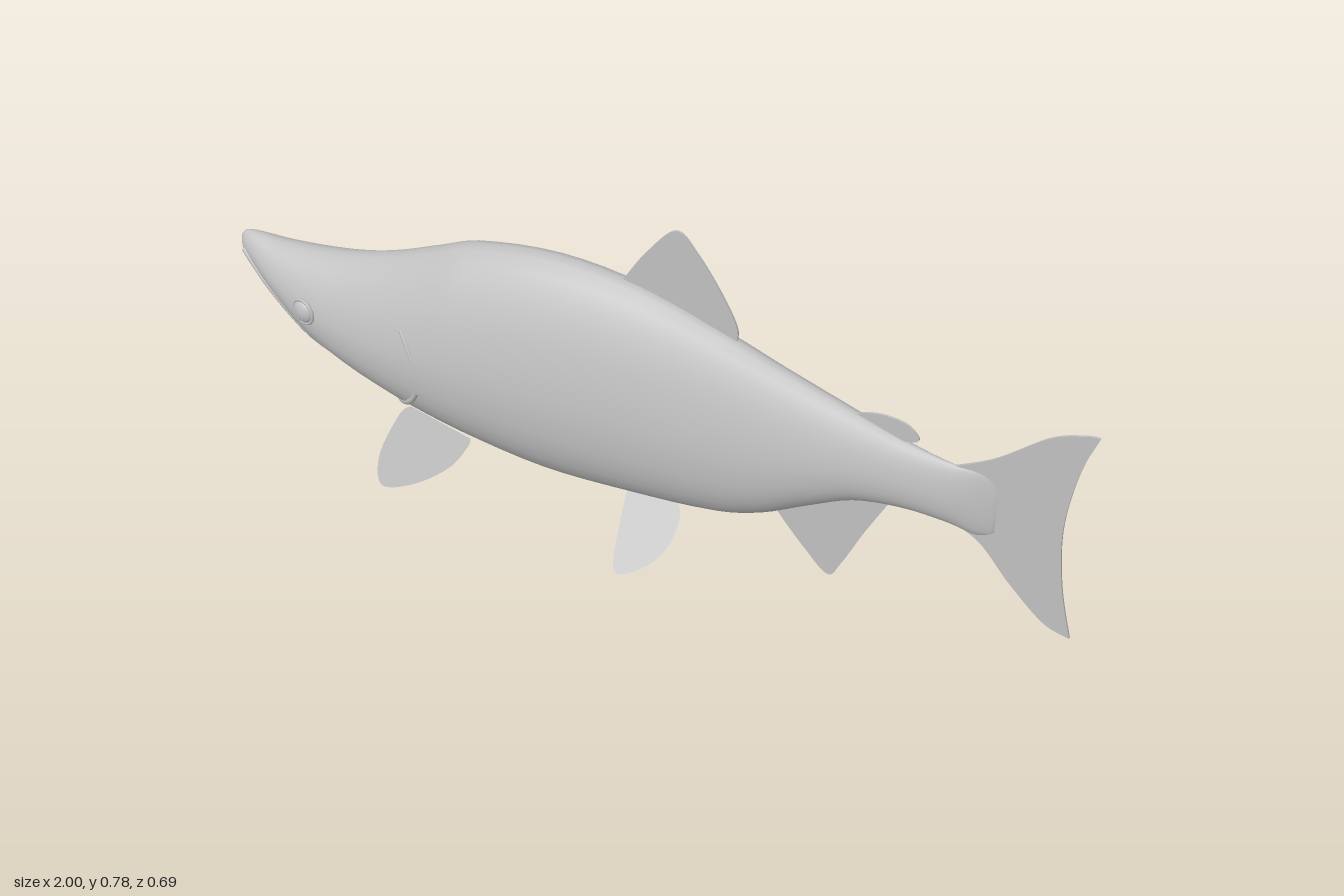
import * as THREE from 'three';

// Stations along the fish: x, top y, bottom y, half width
const BODY = [
  [-1, 0.455, 0.425, 0.006], [-0.99, 0.466, 0.415, 0.018], [-0.96, 0.47, 0.393, 0.034],
  [-0.9, 0.468, 0.345, 0.06], [-0.8, 0.476, 0.268, 0.09], [-0.7, 0.494, 0.22, 0.107],
  [-0.6, 0.525, 0.187, 0.122], [-0.5, 0.568, 0.16, 0.135], [-0.4, 0.61, 0.138, 0.142],
  [-0.2, 0.64, 0.11, 0.14], [0, 0.622, 0.112, 0.126], [0.2, 0.563, 0.127, 0.105],
  [0.3, 0.528, 0.157, 0.091], [0.4, 0.495, 0.21, 0.075], [0.5, 0.463, 0.258, 0.058],
  [0.6, 0.432, 0.272, 0.041], [0.7, 0.412, 0.265, 0.024], [0.76, 0.413, 0.253, 0.013],
  [0.8, 0.4, 0.265, 0.004],
];
const JAW = [
  [-0.978, 0.402, 0.388, 0.006], [-0.94, 0.388, 0.356, 0.024], [-0.88, 0.355, 0.31, 0.042],
  [-0.8, 0.325, 0.252, 0.06], [-0.7, 0.3, 0.213, 0.06], [-0.6, 0.27, 0.195, 0.03],
];

// Smooth interpolation of a station table at x
function sample(table, x) {
  let i = 0;
  while (i < table.length - 2 && x > table[i + 1][0]) i++;
  const a = table[i], b = table[i + 1];
  const p = table[Math.max(i - 1, 0)], q = table[Math.min(i + 2, table.length - 1)];
  const d = b[0] - a[0], t = (x - a[0]) / d;
  return [1, 2, 3].map((k) => {
    const ma = (b[k] - p[k]) / (b[0] - p[0]) * d, mb = (q[k] - a[k]) / (q[0] - a[0]) * d;
    const t2 = t * t, t3 = t2 * t;
    return (2 * t3 - 3 * t2 + 1) * a[k] + (t3 - 2 * t2 + t) * ma
      + (3 * t2 - 2 * t3) * b[k] + (t3 - t2) * mb;
  });
}

// Egg-shaped section: narrow along the back, full along the belly
const UPPER = 1.72, LOWER = 2.3, WAIST = 0.4;

// Half width of the body surface at (x, y)
function bodyZ(x, y) {
  const [top, bottom, w] = sample(BODY, x);
  const mid = bottom + (top - bottom) * WAIST;
  const n = y > mid ? UPPER : LOWER;
  const q = Math.min(1, Math.abs(y - mid) / (y > mid ? top - mid : mid - bottom));
  return w * Math.pow(1 - Math.pow(q, n), 1 / n);
}

function loft(table, steps, sides) {
  const xs = [];
  for (let i = 0; i < table.length - 1; i++) {
    for (let s = 0; s < steps; s++) xs.push(table[i][0] + (table[i + 1][0] - table[i][0]) * s / steps);
  }
  xs.push(table[table.length - 1][0]);
  const pos = [], idx = [];
  for (const x of xs) {
    const [top, bottom, w] = sample(table, x);
    const mid = bottom + (top - bottom) * WAIST;
    for (let j = 0; j < sides; j++) {
      const t = j / sides * Math.PI * 2, c = Math.cos(t), s = Math.sin(t);
      const e = 2 / (c > 0 ? UPPER : LOWER), h = c > 0 ? top - mid : mid - bottom;
      pos.push(x, mid + h * Math.sign(c) * Math.abs(c) ** e, w * Math.sign(s) * Math.abs(s) ** e);
    }
  }
  for (let i = 0; i < xs.length - 1; i++) {
    for (let j = 0; j < sides; j++) {
      const a = i * sides + j, c = i * sides + (j + 1) % sides, b = a + sides, d = c + sides;
      idx.push(a, c, b, c, d, b);
    }
  }
  // end caps
  const last = (xs.length - 1) * sides;
  for (let j = 1; j < sides - 1; j++) idx.push(0, j + 1, j, last, last + j, last + j + 1);
  const geo = new THREE.BufferGeometry();
  geo.setAttribute('position', new THREE.Float32BufferAttribute(pos, 3));
  geo.setIndex(idx);
  geo.computeVertexNormals();
  return geo;
}

// Fin outline: smooth curve through the points, straight across the root
function finShape(points) {
  const shape = new THREE.Shape();
  shape.moveTo(...points[0]);
  shape.splineThru(points.slice(1).map((p) => new THREE.Vector2(...p)));
  return shape;
}

export function createModel() {
  const group = new THREE.Group();
  const grey = new THREE.MeshStandardMaterial({ color: 0xc0c0c0, side: THREE.DoubleSide });
  grey.name = 'plain grey';
  const add = (name, geo) => {
    const mesh = new THREE.Mesh(geo, grey);
    mesh.name = name;
    group.add(mesh);
    return mesh;
  };

  add('body', loft(BODY, 4, 32));
  add('lowerJaw', loft(JAW, 4, 20));

  // Upright fins on the centre line
  const upright = (name, shape) => {
    const geo = new THREE.ExtrudeGeometry(shape, { depth: 0.005, bevelEnabled: false, curveSegments: 24 });
    add(name, geo.translate(0, 0, -0.0025));
  };
  upright('dorsalFin', finShape([[-0.045, 0.62], [-0.04, 0.638], [0.01, 0.715], [0.075, 0.783],
    [0.125, 0.74], [0.18, 0.66], [0.215, 0.59], [0.215, 0.55]]));
  upright('adiposeFin', finShape([[0.48, 0.455], [0.5, 0.472], [0.545, 0.482], [0.595, 0.476],
    [0.624, 0.45], [0.61, 0.436], [0.56, 0.43]]));
  upright('analFin', finShape([[0.31, 0.18], [0.32, 0.152], [0.385, 0.075], [0.44, 0.025],
    [0.47, 0.065], [0.52, 0.17], [0.575, 0.275]]));

  // Forked tail fin with pointed lobes
  const tail = new THREE.Shape();
  tail.moveTo(0.685, 0.4);
  tail.splineThru([[0.785, 0.455], [0.895, 0.545], [0.965, 0.575], [0.997, 0.58]].map((p) => new THREE.Vector2(...p)));
  tail.splineThru([[0.963, 0.48], [0.942, 0.335], [0.952, 0.19], [0.98, 0.06]].map((p) => new THREE.Vector2(...p)));
  tail.splineThru([[0.92, 0.08], [0.84, 0.155], [0.77, 0.235], [0.7, 0.27]].map((p) => new THREE.Vector2(...p)));
  upright('tailFin', tail);

  // Paired parts
  const pectoral = finShape([[-0.52, 0.1], [-0.525, 0.14], [-0.495, 0.27], [-0.445, 0.345],
    [-0.395, 0.3], [-0.362, 0.21], [-0.362, 0.13], [-0.37, 0.1]]);
  const pelvic = finShape([[-0.015, 0.13], [-0.005, 0.07], [0.02, 0.001], [0.08, 0.02],
    [0.118, 0.06], [0.125, 0.105], [0.11, 0.13]]);
  const sheet = (shape, place) => {
    const geo = new THREE.ShapeGeometry(shape, 16);
    const p = geo.attributes.position;
    for (let i = 0; i < p.count; i++) p.setXYZ(i, ...place(p.getX(i), p.getY(i)));
    geo.computeVertexNormals();
    return geo;
  };
  for (const side of [1, -1]) {
    const label = side > 0 ? 'left' : 'right';
    // splayed fins
    add(label + 'PectoralFin', sheet(pectoral, (x, z) => [x, 0.205 - 0.25 * (x + 0.52), z * side]));
    add(label + 'PelvicFin', sheet(pelvic, (x, y) =>
      [x, y, side * (0.053 + (0.12 - y) * 1.05 + (x - 0.05) * 0.1)]));

    // eye with its socket rim
    const eyeZ = bodyZ(-0.79, 0.365);
    const eye = add(label + 'Eye', new THREE.SphereGeometry(0.027, 24, 16));
    eye.scale.z = 0.5;
    eye.position.set(-0.79, 0.365, side * eyeZ);
    eye.rotation.y = -side * 0.25;
    const rim = add(label + 'EyeRim', new THREE.TorusGeometry(0.029, 0.004, 8, 28));
    rim.position.set(-0.79, 0.365, side * (eyeZ + 0.001));
    rim.rotation.y = -side * 0.25;

    // raised ridges that follow the skin
    const ridge = (name, points, radius) => {
      const flat = new THREE.SplineCurve(points.map((p) => new THREE.Vector2(...p)));
      const path = flat.getPoints(14).map((p) =>
        new THREE.Vector3(p.x, p.y, side * (bodyZ(p.x, p.y) - radius * 0.35)));
      add(label + name, new THREE.TubeGeometry(new THREE.CatmullRomCurve3(path), 28, radius, 8));
    };
    ridge('UpperLip', [[-0.985, 0.428], [-0.95, 0.402], [-0.9, 0.365], [-0.84, 0.315], [-0.8, 0.285]], 0.007);
    ridge('GillEdge', [[-0.483, 0.275], [-0.5, 0.245], [-0.535, 0.21], [-0.57, 0.193], [-0.6, 0.192]], 0.007);
    ridge('GillNotch', [[-0.525, 0.415], [-0.505, 0.385], [-0.49, 0.355]], 0.005);
  }
  return group;
}
